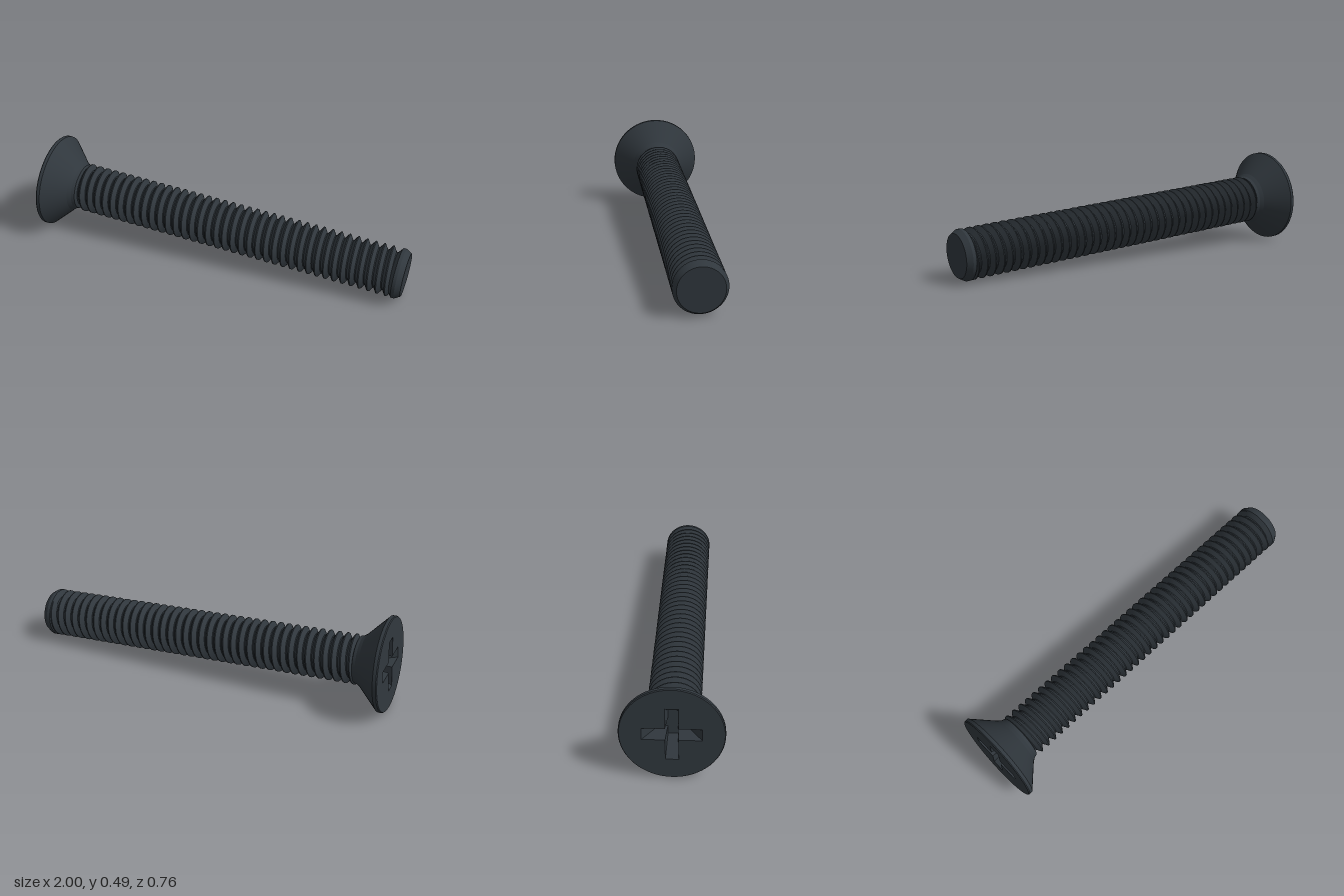
import * as THREE from 'three';
import { mergeGeometries } from 'three/addons/utils/BufferGeometryUtils.js';

const LENGTH = 1.97, HEAD_R = 0.247, MAJOR_R = 0.129, MINOR_R = 0.103, PITCH = 0.0457;

// Revolve each straight piece of a profile on its own, so the edges stay sharp
function turned(points) {
  const pieces = [];
  for (let i = 0; i < points.length - 1; i++) {
    const pair = [points[i], points[i + 1]].map(([r, y]) => new THREE.Vector2(r, y));
    pieces.push(new THREE.LatheGeometry(pair, 64));
  }
  return mergeGeometries(pieces);
}

// One helical ribbon from (radius r0, offset f0) to (r1, f1) within a pitch
function helixRibbon(r0, f0, r1, f1, yStart, yEnd) {
  const steps = 48, total = Math.floor(((yEnd - yStart) / PITCH) * steps);
  const pos = [], index = [];
  for (let i = 0; i <= total; i++) {
    const angle = (i / steps) * Math.PI * 2;
    for (const [r, f] of [[r0, f0], [r1, f1]]) {
      pos.push(r * Math.cos(angle), yStart + (i / steps + f) * PITCH, -r * Math.sin(angle));
    }
    if (i < total) {
      const a = i * 2;
      index.push(a, a + 2, a + 1, a + 2, a + 3, a + 1);
    }
  }
  const g = new THREE.BufferGeometry();
  g.setAttribute('position', new THREE.Float32BufferAttribute(pos, 3));
  g.setIndex(index);
  g.computeVertexNormals();
  return g;
}

// Counter-clockwise plus outline with arm length l and half width w
function crossPoints(l, w) {
  return [[l, -w], [l, w], [w, w], [w, l], [-w, l], [-w, w],
    [-l, w], [-l, -w], [-w, -w], [-w, -l], [w, -l], [w, -w]]
    .map(([x, y]) => new THREE.Vector2(x, y));
}

// Tapered walls of the cross recess
function recessWalls(top, bottom, depth) {
  const pos = [];
  top.forEach((a, i) => {
    const j = (i + 1) % top.length, a2 = top[j], b = bottom[i], b2 = bottom[j];
    pos.push(a.x, a.y, 0, a2.x, a2.y, 0, b.x, b.y, -depth);
    pos.push(a2.x, a2.y, 0, b2.x, b2.y, -depth, b.x, b.y, -depth);
  });
  const g = new THREE.BufferGeometry();
  g.setAttribute('position', new THREE.Float32BufferAttribute(pos, 3));
  g.computeVertexNormals();
  return g;
}

export function createModel() {
  const blackSteel = new THREE.MeshStandardMaterial({ color: 0x30373d });
  const screw = new THREE.Group();
  screw.name = 'screw';
  const add = (name, geometry) => {
    const mesh = new THREE.Mesh(geometry, blackSteel);
    mesh.name = name;
    screw.add(mesh);
    return mesh;
  };

  // Countersunk head with a narrow rim and short neck
  add('head', turned([[0.243, 0], [HEAD_R, 0.005], [HEAD_R, 0.022],
    [0.14, 0.129], [0.127, 0.148], [0.122, 0.165], [MINOR_R, 0.172]]));

  // Flat head face with the cross-shaped opening
  const depth = 0.1;
  const top = crossPoints(0.14, 0.031), bottom = crossPoints(0.065, 0.023);
  const face = new THREE.Shape().absarc(0, 0, 0.243, 0, Math.PI * 2);
  face.holes.push(new THREE.Path(top.slice().reverse()));
  add('headFace', new THREE.ShapeGeometry(face, 32).rotateX(Math.PI / 2));
  add('recessWalls', recessWalls(top, bottom, depth).rotateX(Math.PI / 2));
  add('recessFloor', new THREE.ShapeGeometry(new THREE.Shape(bottom))
    .rotateX(Math.PI / 2).translate(0, depth, 0));

  // Shank core and helical thread
  add('shankCore', turned([[MINOR_R - 0.001, 0.12], [MINOR_R - 0.001, LENGTH - 0.03]]));
  const profile = [[MINOR_R, 0], [MINOR_R, 0.12], [MAJOR_R, 0.5], [MAJOR_R, 0.62], [MINOR_R, 1]];
  const ribbons = [];
  for (let i = 0; i < profile.length - 1; i++) {
    ribbons.push(helixRibbon(...profile[i], ...profile[i + 1], 0.14, LENGTH - 0.075));
  }
  add('thread', mergeGeometries(ribbons));

  // Chamfered tip with a flat end
  add('tip', turned([[MINOR_R, LENGTH - 0.065], [MAJOR_R, LENGTH - 0.045],
    [MAJOR_R, LENGTH - 0.028], [0.112, LENGTH], [0, LENGTH]]));

  // Lay the screw along its slanted axis, head towards -x
  const axis = new THREE.Vector3(1.924, -0.115, 0.403).normalize();
  const side = new THREE.Vector3(0, 0, 1).addScaledVector(axis, -axis.z).normalize();
  const third = new THREE.Vector3().crossVectors(axis, side);
  screw.quaternion.setFromRotationMatrix(new THREE.Matrix4().makeBasis(third, axis, side));
  screw.position.set(-0.947, 0.247, -0.143);

  const model = new THREE.Group();
  model.name = 'countersunkScrew';
  model.add(screw);
  return model;
}
